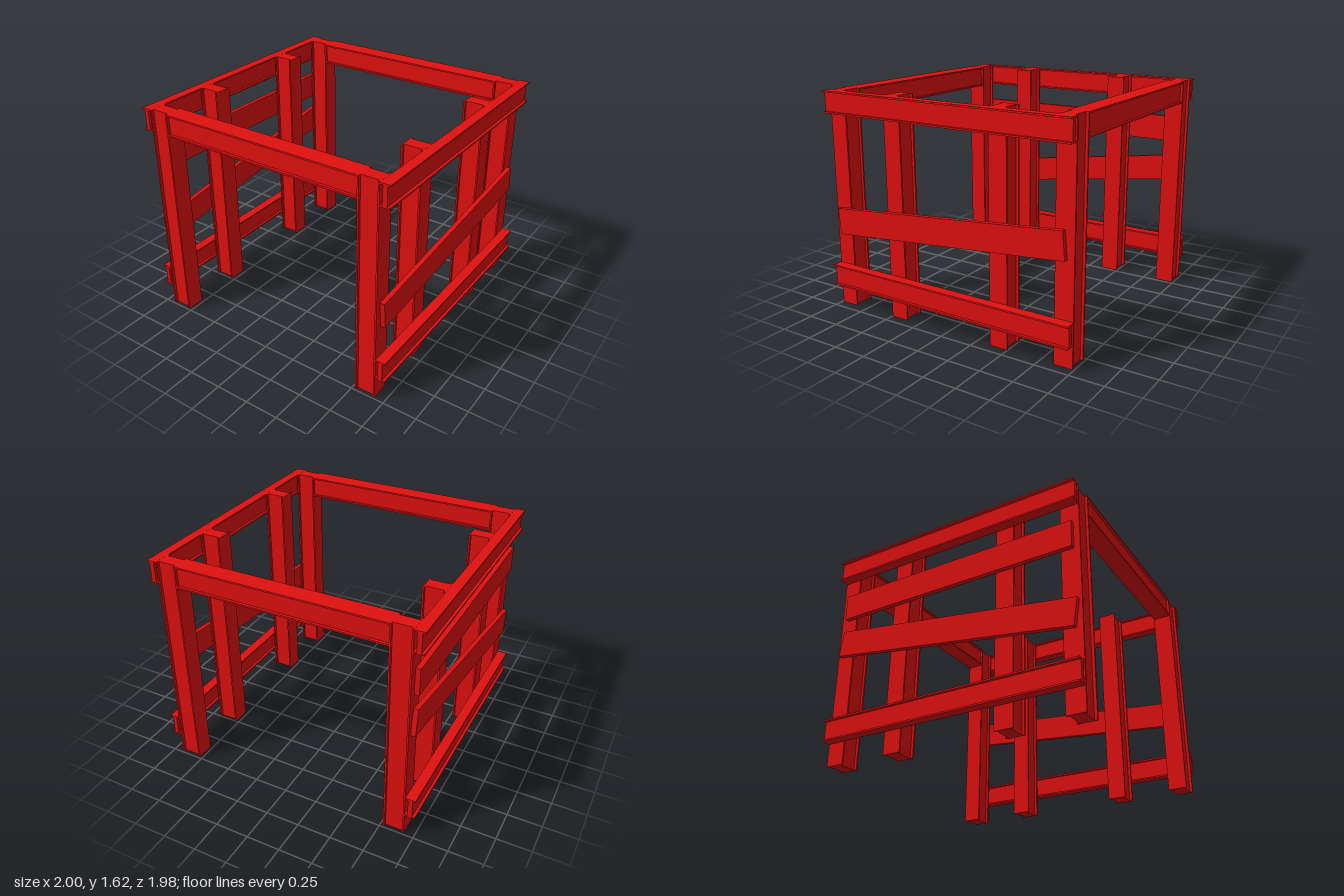
import * as THREE from 'three';

const material = new THREE.MeshStandardMaterial({ color: 0xe01010 });

// Beam with a thick web and thin flanges, running along z and centred on the origin
function beamGeometry(width, depth, length) {
  const w = width / 2, d = depth / 2, t = 0.012, inset = 0.02;
  const half = [[w, -d], [w, -d + t], [w - inset, -d + t], [w - inset, d - t], [w, d - t], [w, d]];
  const points = [...half, ...half.map(([x, y]) => [-x, -y])].map(([x, y]) => new THREE.Vector2(x, y));
  const geometry = new THREE.ExtrudeGeometry(new THREE.Shape(points), { depth: length, bevelEnabled: false });
  return geometry.translate(0, 0, -length / 2);
}

export function createModel() {
  const model = new THREE.Group();
  model.name = 'beamFrame';

  function add(name, geometry, x, y, z) {
    const mesh = new THREE.Mesh(geometry, material);
    mesh.name = name;
    mesh.position.set(x, y, z);
    model.add(mesh);
    return mesh;
  }

  // Upright posts: flanges face inward and outward
  const height = 1.625;
  const upright = new THREE.Matrix4().makeBasis(
    new THREE.Vector3(0, 0, 1), new THREE.Vector3(1, 0, 0), new THREE.Vector3(0, 1, 0));
  const postGeometry = beamGeometry(0.137, 0.155, height).applyMatrix4(upright);

  // Long side rails, at the top and near the ground
  const railGeometry = beamGeometry(0.073, 0.16, 1.98);

  for (const side of [1, -1]) {
    const label = side > 0 ? 'left' : 'right';
    for (const z of [0.921, 0.43, -0.43, -0.921]) {
      add(label + (Math.abs(z) > 0.5 ? 'CornerPost' : 'MiddlePost'), postGeometry, side * 0.849, height / 2, z);
    }
    add(label + 'TopRail', railGeometry, side * 0.9635, 1.545, 0);
    add(label + 'BottomRail', railGeometry, side * 0.9635, 0.245, 0);
  }

  // Cross beams joining the corner posts at the front and back
  const crossGeometry = beamGeometry(0.137, 0.16, 1.55).rotateY(Math.PI / 2);
  add('frontCrossBeam', crossGeometry, 0, 1.545, 0.921);
  add('backCrossBeam', crossGeometry, 0, 1.545, -0.921);

  // Flat planks fixed to the outside of the posts
  function plank(name, x, y, length, degrees) {
    const mesh = add(name, new THREE.BoxGeometry(0.035, 0.195, length), x, y, 0.006);
    mesh.rotation.x = THREE.MathUtils.degToRad(degrees);
  }
  plank('leftSlopedPlank', 0.943, 0.743, 1.88, 5);
  plank('rightLevelPlank', -0.943, 1.228, 1.88, 0);
  plank('rightSlopedPlank', -0.943, 0.79, 1.92, 8.2);

  return model;
}
